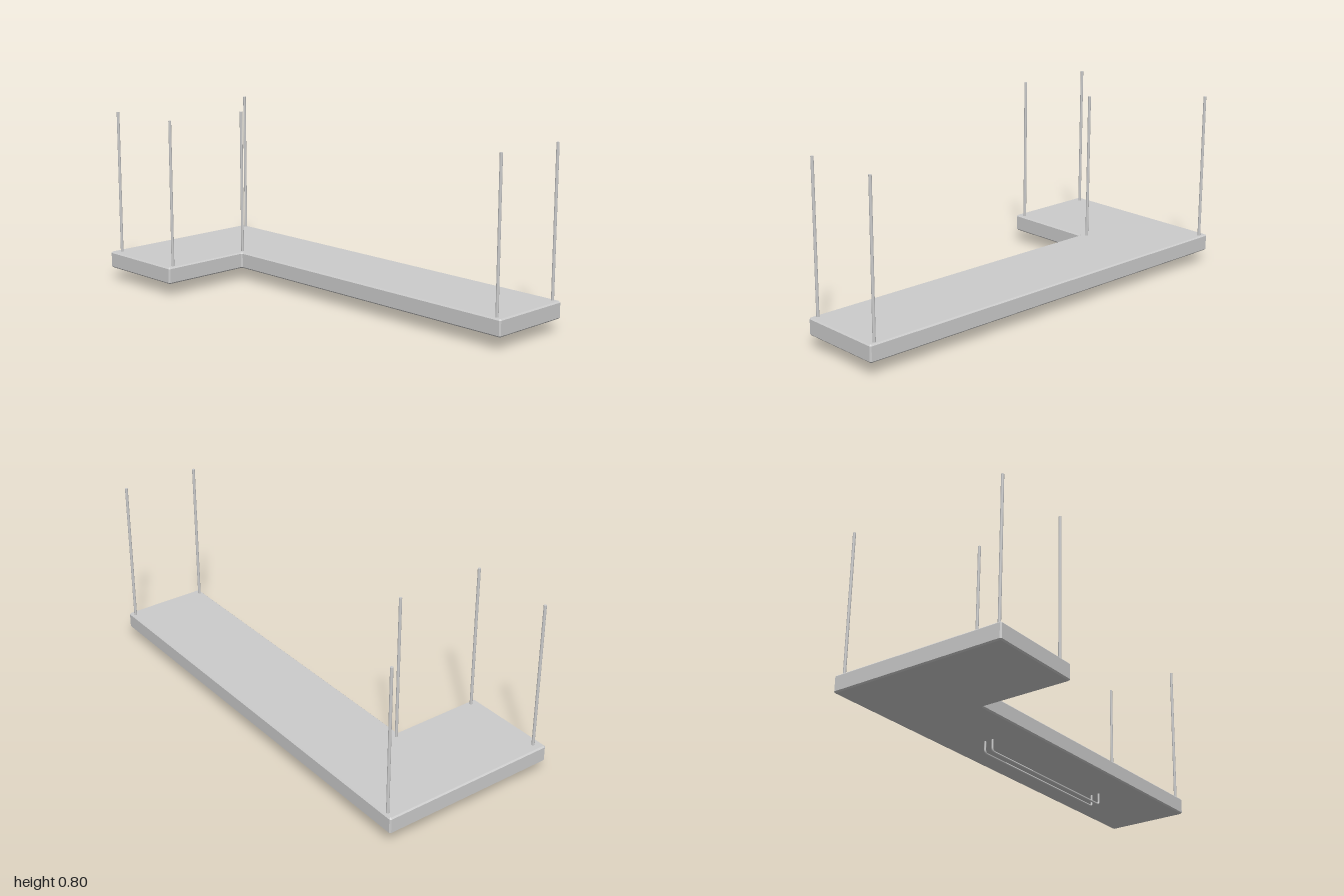
import * as THREE from 'three';

const material = new THREE.MeshStandardMaterial({ color: 0xcccccc });
const flatMaterial = new THREE.MeshStandardMaterial({ color: 0xcccccc, flatShading: true });

function addMesh(group, name, geometry, mat = material) {
  const mesh = new THREE.Mesh(geometry, mat);
  mesh.name = name;
  group.add(mesh);
  return mesh;
}

// L-shaped slab with a small chamfer on every edge
function slabGeometry() {
  const bevel = 0.006, bottom = 0.057, top = 0.133;
  // plan outline in (x, -z), counter-clockwise
  const plan = [
    [-1, -0.414], [-0.556, -0.414], [-0.556, 0.018],
    [1, 0.018], [1, 0.414], [-1, 0.414],
  ].map(([x, y]) => new THREE.Vector2(x, y));
  const shape = new THREE.Shape();
  plan.forEach((p, i) => {
    const prev = plan[(i + 5) % 6], next = plan[(i + 1) % 6];
    const toward = (q) => q.clone().sub(p).setLength(bevel).add(p);
    const a = toward(prev), b = toward(next);
    if (i === 0) shape.moveTo(a.x, a.y); else shape.lineTo(a.x, a.y);
    shape.lineTo(b.x, b.y);
  });
  shape.closePath();
  const geometry = new THREE.ExtrudeGeometry(shape, {
    depth: top - bottom - 2 * bevel,
    bevelEnabled: true, bevelSegments: 1,
    bevelSize: bevel, bevelThickness: bevel, bevelOffset: -bevel,
  });
  geometry.rotateX(-Math.PI / 2);
  geometry.translate(0, bottom + bevel, 0);
  return geometry;
}

// Long U-shaped bar with rounded lower corners
function railGeometry(z) {
  const left = -0.264, right = 0.537, top = 0.062, low = 0.0045, r = 0.016;
  const v = (x, y) => new THREE.Vector3(x, y, z);
  const path = new THREE.CurvePath();
  path.add(new THREE.LineCurve3(v(left, top), v(left, low + r)));
  path.add(new THREE.QuadraticBezierCurve3(v(left, low + r), v(left, low), v(left + r, low)));
  path.add(new THREE.LineCurve3(v(left + r, low), v(right - r, low)));
  path.add(new THREE.QuadraticBezierCurve3(v(right - r, low), v(right, low), v(right, low + r)));
  path.add(new THREE.LineCurve3(v(right, low + r), v(right, top)));
  return new THREE.TubeGeometry(path, 300, 0.0045, 10, false);
}

export function createModel() {
  const model = new THREE.Group();
  model.name = 'hangingShelf';

  addMesh(model, 'shelfSlab', slabGeometry(), flatMaterial);

  // Suspension rods at each corner of the slab
  const rods = new THREE.Group();
  rods.name = 'suspensionRods';
  const rodBottom = 0.125, rodTop = 0.796;
  const rodGeometry = new THREE.CylinderGeometry(0.0065, 0.0065, rodTop - rodBottom, 16);
  const corners = [
    [-0.962, 0.376], [-0.577, 0.376], [-0.577, -0.041],
    [0.968, -0.036], [0.968, -0.397], [-0.962, -0.397],
  ];
  for (const [x, z] of corners) {
    addMesh(rods, 'suspensionRod', rodGeometry).position.set(x, (rodTop + rodBottom) / 2, z);
  }
  model.add(rods);

  // Pair of rails under the slab
  for (const z of [-0.193, -0.232]) addMesh(model, 'underRail', railGeometry(z));

  return model;
}
